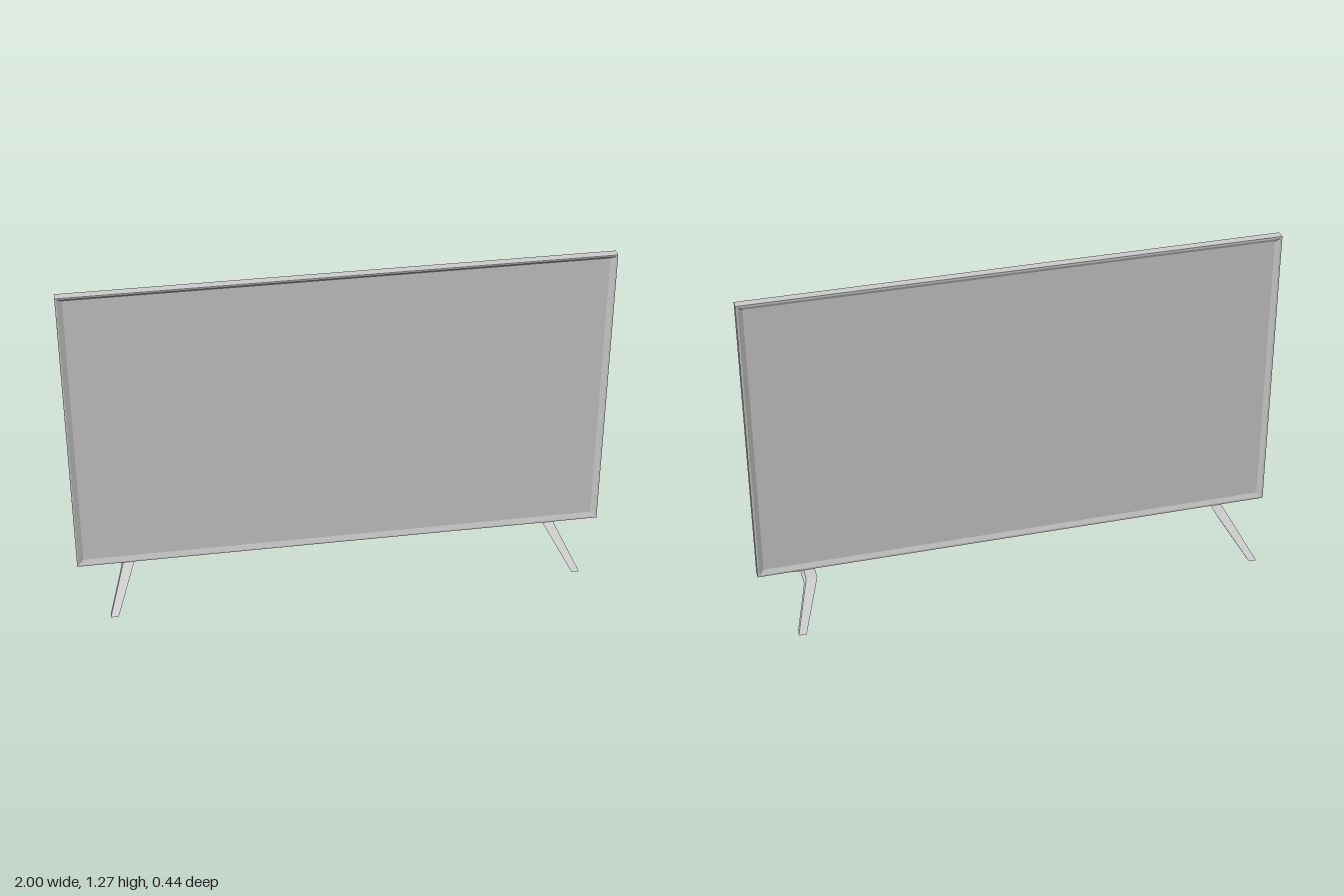
import * as THREE from 'three';

const material = new THREE.MeshStandardMaterial({ color: 0xcccccc, flatShading: true });

// Joins four-cornered loops (counter-clockwise seen from +z, ordered towards +z).
function loft(loops, capped) {
  const pos = [];
  const quad = (a, b, c, d) => pos.push(...a, ...b, ...c, ...a, ...c, ...d);
  for (let i = 0; i < loops.length - 1; i++) {
    for (let j = 0; j < 4; j++) {
      const k = (j + 1) % 4;
      quad(loops[i][j], loops[i][k], loops[i + 1][k], loops[i + 1][j]);
    }
  }
  if (capped) {
    quad(...[...loops[0]].reverse());
    quad(...loops[loops.length - 1]);
  }
  const geometry = new THREE.BufferGeometry();
  geometry.setAttribute('position', new THREE.Float32BufferAttribute(pos, 3));
  geometry.computeVertexNormals();
  return geometry;
}

function add(group, name, geometry) {
  const mesh = new THREE.Mesh(geometry, material);
  mesh.name = name;
  group.add(mesh);
  return mesh;
}

const BOTTOM = 0.12, TOP = 1.27, BACK = 0.014, FRONT = 0.047, RECESS = 0.007;

// Rectangle of the display outline, inset at the sides/bottom and at the top.
function outline(z, inset, topInset = inset) {
  const x = 1 - inset, y0 = BOTTOM + inset, y1 = TOP - topInset;
  return [[-x, y0, z], [x, y0, z], [x, y1, z], [-x, y1, z]];
}

// Leg cross-section, mirrored by side.
function section(side, [xb0, xb1, yb, zb], [xt0, xt1, yt, zt]) {
  const loop = [[xb0, yb, zb], [xb1, yb, zb], [xt1, yt, zt], [xt0, yt, zt]]
    .map(([x, y, z]) => [side * x, y, z]);
  return side > 0 ? loop : loop.reverse();
}

export function createModel() {
  const model = new THREE.Group();
  model.name = 'television';

  // Bezel: thin lip front and back, sloping in to the recessed panels
  add(model, 'bezel', loft([
    outline(BACK + RECESS, 0.025, 0.02),
    outline(BACK, 0.008),
    outline(BACK, 0),
    outline(FRONT, 0),
    outline(FRONT, 0.006),
    outline(FRONT - RECESS, 0.025, 0.014),
  ], false));

  // Screen and rear panel close the bezel
  const panel = (name, z, topInset, turn) => {
    const h = TOP - BOTTOM - 0.025 - topInset;
    const mesh = add(model, name, new THREE.PlaneGeometry(1.95, h));
    mesh.position.set(0, BOTTOM + 0.025 + h / 2, z);
    mesh.rotation.y = turn;
  };
  panel('screen', FRONT - RECESS, 0.014, 0);
  panel('rearPanel', BACK + RECESS, 0.02, Math.PI);

  // Legs: flat bridge under the display with splayed feet front and back
  for (const side of [1, -1]) {
    const foot = (d) => section(side, [0.862, 0.89, 0, d * 0.187], [0.864, 0.893, 0, d * 0.218]);
    const bridge = (d) => section(side, [0.797, 0.836, 0.098, d * 0.038], [0.785, 0.827, 0.12, d * 0.041]);
    add(model, side > 0 ? 'leftLeg' : 'rightLeg',
      loft([foot(-1), bridge(-1), bridge(1), foot(1)], true));
  }
  return model;
}
